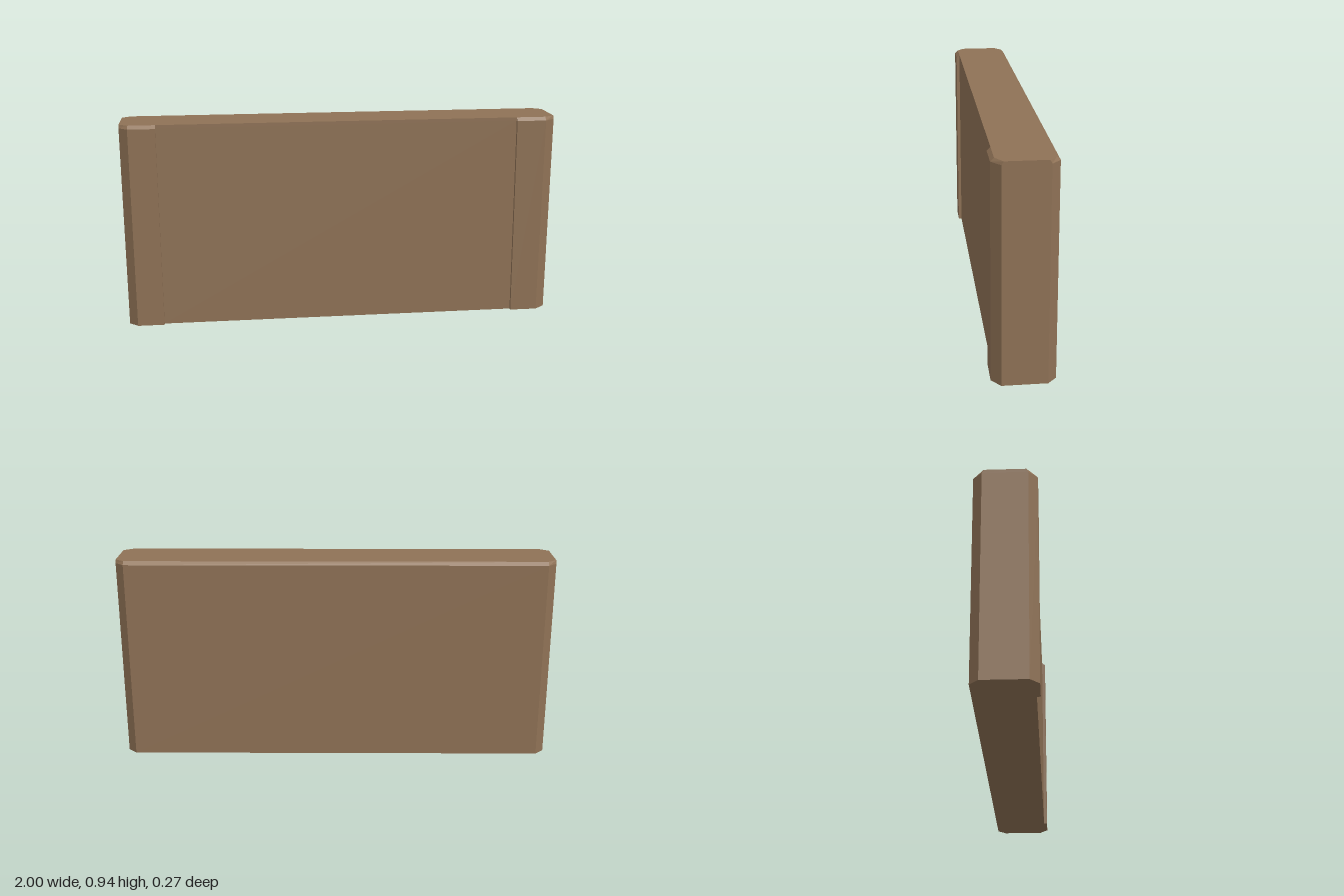
import * as THREE from 'three';

// Ring of [x, z] points, counter-clockwise seen from above, starting at the front left.
// edge: depth of the outer faces, side: depth of the end faces, step: inner edge of the right post
function ring(edge, side, step) {
  return [
    [-1, side], [-0.96, edge], [-0.838, edge], [-0.838, 0.118],
    [step, 0.118], [step, edge], [0.952, edge], [1, side],
    [1, -side], [0.96, -edge], [-0.96, -edge], [-1, -side],
  ];
}

// Loft of the rings with flat faces and closed ends
function loft(levels) {
  const pos = [];
  const put = (level, i) => pos.push(level.pts[i][0], level.y, level.pts[i][1]);
  const n = levels[0].pts.length;
  for (let k = 0; k < levels.length - 1; k++) {
    const lo = levels[k], hi = levels[k + 1];
    for (let i = 0; i < n; i++) {
      const j = (i + 1) % n;
      put(lo, i); put(lo, j); put(hi, j);
      put(lo, i); put(hi, j); put(hi, i);
    }
  }
  const outline = levels[0].pts.map(([x, z]) => new THREE.Vector2(x, -z));
  const top = levels[levels.length - 1];
  for (const [a, b, c] of THREE.ShapeUtils.triangulateShape(outline, [])) {
    put(levels[0], a); put(levels[0], c); put(levels[0], b);
    put(top, a); put(top, b); put(top, c);
  }
  const geometry = new THREE.BufferGeometry();
  geometry.setAttribute('position', new THREE.Float32BufferAttribute(pos, 3));
  geometry.computeVertexNormals();
  return geometry;
}

export function createModel() {
  const brown = new THREE.MeshStandardMaterial({ color: 0x8f7256 });
  brown.name = 'brown';

  // Slab with chamfered corners, raised front posts and a bevelled top edge
  const slab = new THREE.Mesh(loft([
    { y: 0, pts: ring(0.133, 0.095, 0.825) },
    { y: 0.93, pts: ring(0.133, 0.095, 0.816) },
    { y: 0.945, pts: ring(0.118, 0.087, 0.816) },
  ]), brown);
  slab.name = 'wallSlab';

  const model = new THREE.Group();
  model.name = 'wall';
  model.add(slab);
  return model;
}
